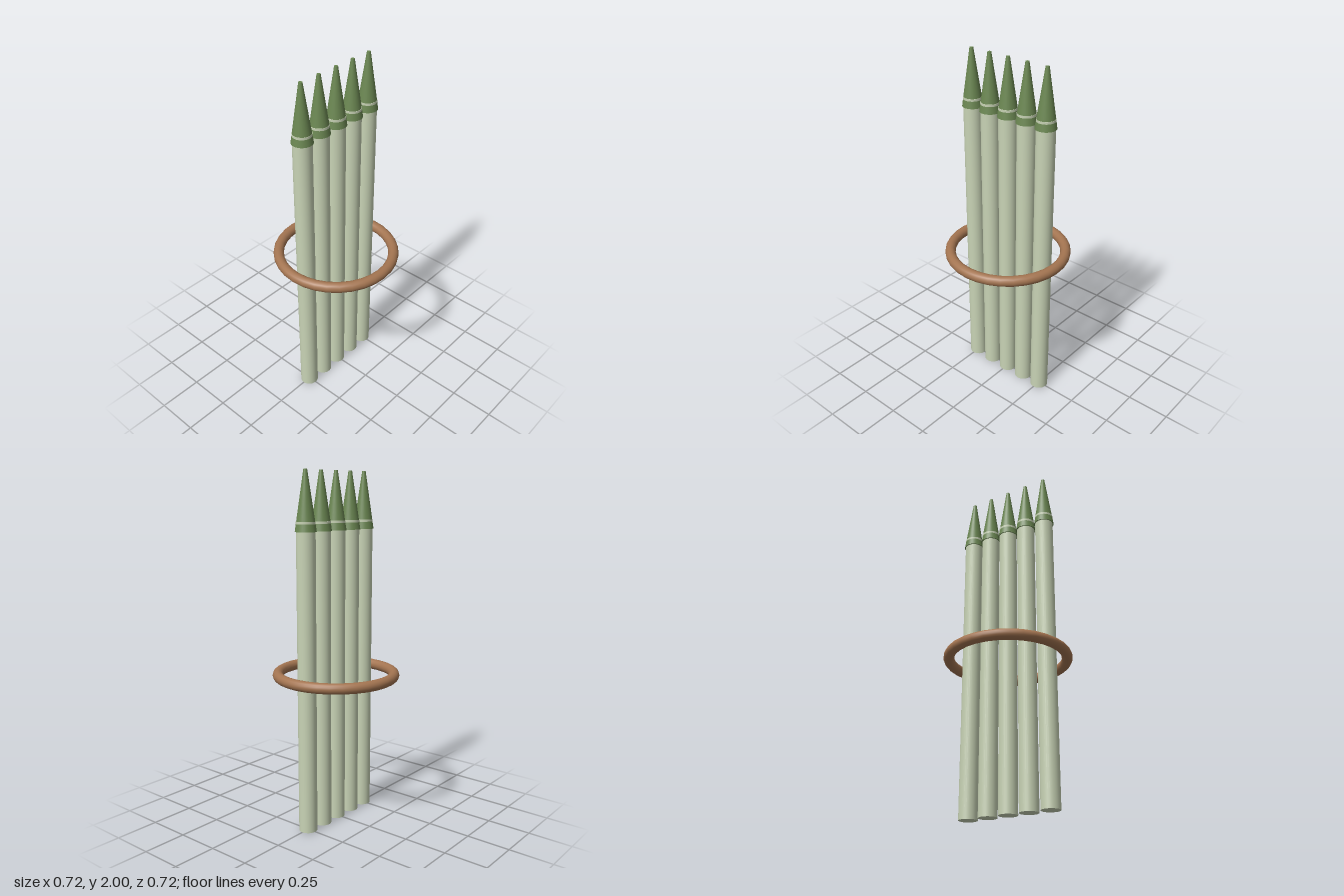
import * as THREE from 'three';

export function createModel() {
  const model = new THREE.Group();
  model.name = 'bundledSpears';

  const mat = (name, color) => {
    const m = new THREE.MeshStandardMaterial({ color });
    m.name = name;
    return m;
  };
  const paleGreen = mat('pale green', 0xc8d3b5);
  const leafGreen = mat('leaf green', 0x6b8752);
  const twineBrown = mat('twine brown', 0xa47551);

  const add = (parent, name, geometry, material, y) => {
    const mesh = new THREE.Mesh(geometry, material);
    mesh.name = name;
    mesh.position.y = y;
    parent.add(mesh);
  };

  // Shaft tops break slightly through the tips, leaving a thin pale band
  const shaftTop = 1.733, tipBase = 1.68, tipTop = 2;
  const shaft = new THREE.CylinderGeometry(0.052, 0.052, shaftTop, 32);
  const tip = new THREE.CylinderGeometry(0.01, 0.058, tipTop - tipBase, 32);

  // Row of five spears
  for (let i = -2; i <= 2; i++) {
    const spear = new THREE.Group();
    spear.name = `spear${i + 3}`;
    spear.position.x = i * 0.125;
    add(spear, 'shaft', shaft, paleGreen, shaftTop / 2);
    add(spear, 'tip', tip, leafGreen, (tipBase + tipTop) / 2);
    model.add(spear);
  }

  // Tie ring around the row
  const ring = new THREE.TorusGeometry(0.332, 0.03, 16, 32).rotateX(Math.PI / 2);
  add(model, 'tieRing', ring, twineBrown, 0.868);

  return model;
}
